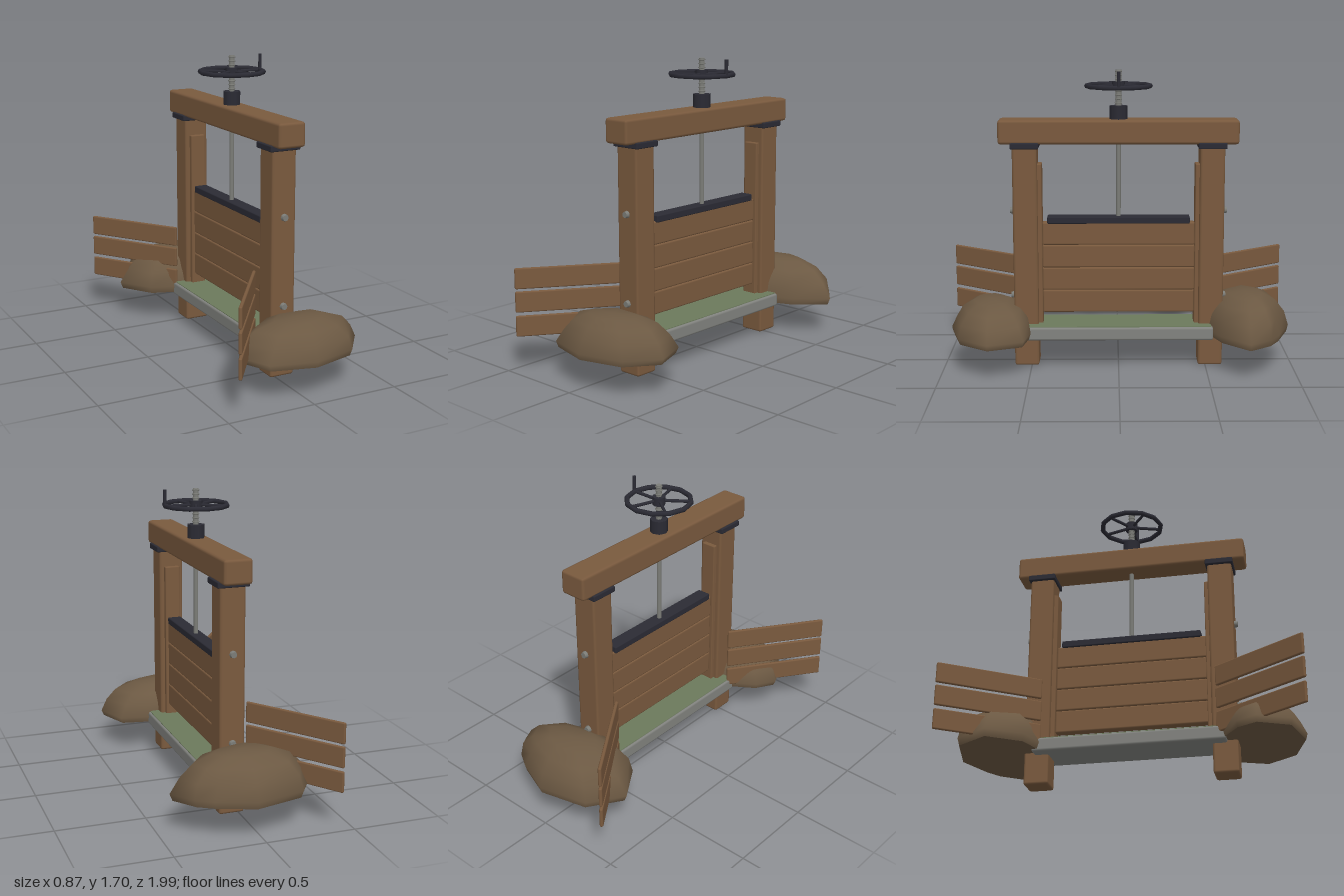
import * as THREE from 'three';
import { RoundedBoxGeometry } from 'three/addons/geometries/RoundedBoxGeometry.js';

const CX = 0.04; // centre line of the frame

export function createModel() {
  const mat = (name, color, extra = {}) => {
    const m = new THREE.MeshStandardMaterial({ color, ...extra });
    m.name = name;
    return m;
  };
  const wood = mat('wood', 0x7a5a3e);
  const iron = mat('iron', 0x2b2b34);
  const steel = mat('steel', 0x7c7d78);
  const stone = mat('stone', 0x82837f);
  const moss = mat('moss', 0x6c7a5c);
  const earth = mat('earth', 0x6c5943);

  const root = new THREE.Group();
  root.name = 'sluiceGate';

  const add = (name, geo, material, x, y, z, parent = root) => {
    const m = new THREE.Mesh(geo, material);
    m.name = name;
    m.position.set(x, y, z);
    parent.add(m);
    return m;
  };
  const box = (name, material, w, h, d, x, y, z, r = 0.012, parent = root) =>
    add(name, new RoundedBoxGeometry(w, h, d, 1, r), material, x, y, z, parent);
  const rod = (name, material, r, y0, y1, x, z, sides = 10, parent = root) =>
    add(name, new THREE.CylinderGeometry(r, r, y1 - y0, sides), material, x, (y0 + y1) / 2, z, parent);

  // Lumpy earth bank from one outline, narrowed and raised ring by ring
  const bank = (name, outline, cx, cz, height) => {
    const base = 0.185, n = outline.length;
    const rings = [[0.96, 0], [1, 0.16], [0.9, 0.5], [0.72, 0.78], [0.42, 0.95]];
    const pos = [], idx = [];
    const ring = (s, t) => outline.forEach(([x, z], i) => {
      const wobble = 1 + 0.05 * Math.sin(i * 2.4 + s * 5) * (t > 0.2 ? 1 : 0);
      pos.push(cx + (x - cx) * s * wobble, base + t * (height - base), cz + (z - cz) * s * wobble);
    });
    rings.forEach(([s, t]) => ring(s, t));
    const apex = pos.length / 3;
    pos.push(cx, height, cz);
    const floor = apex + 1;
    ring(rings[0][0], 0);
    pos.push(cx, base, cz);
    for (let i = 0; i < n; i++) {
      const j = (i + 1) % n;
      for (let k = 0; k < rings.length - 1; k++) {
        const a = k * n + i, b = k * n + j, c = a + n, d = b + n;
        idx.push(a, b, d, a, d, c);
      }
      const last = (rings.length - 1) * n;
      idx.push(apex, last + i, last + j, floor + n, floor + j, floor + i);
    }
    const g = new THREE.BufferGeometry();
    g.setAttribute('position', new THREE.Float32BufferAttribute(pos, 3));
    g.setIndex(idx);
    g.computeVertexNormals();
    add(name, g, earth, 0, 0, 0);
  };

  // Posts, collars, guides, bolts and wing fences on both sides
  for (const s of [1, -1]) {
    const side = s > 0 ? 'front' : 'back';
    box(side + 'Post', wood, 0.145, 1.29, 0.14, CX, 0.65, s * 0.527, 0.014);
    box(side + 'Collar', iron, 0.18, 0.034, 0.16, CX, 1.281, s * 0.527, 0.006);
    box(side + 'Guide', wood, 0.09, 0.93, 0.04, CX, 0.71, s * 0.453, 0.006);
    for (const y of [0.41, 0.905]) {
      const bolt = add(side + 'Bolt', new THREE.CylinderGeometry(0.017, 0.022, 0.024, 8), steel, CX, y, s * 0.604);
      bolt.rotation.x = s * Math.PI / 2;
    }
    const fence = new THREE.Group();
    fence.name = side + 'Fence';
    fence.position.set(-0.257, 0, s * 0.742);
    fence.rotation.y = s * Math.atan2(0.345, -0.49) + Math.PI;
    root.add(fence);
    for (const y of [0.274, 0.411, 0.543])
      box('fencePlank', wood, 0.02, 0.118, 0.61, 0, y, 0, 0.008, fence);
  }

  // Top beam
  box('beam', wood, 0.16, 0.136, 1.35, CX, 1.357, 0, 0.016);

  // Sliding gate
  for (let i = 0; i < 4; i++)
    box('gatePlank', wood, 0.06, 0.132, 0.87, CX, 0.377 + i * 0.132, 0, 0.01);
  box('gateCap', iron, 0.08, 0.04, 0.81, CX, 0.852, 0, 0.006);

  // Lifting screw and its nut
  rod('liftRod', steel, 0.013, 0.86, 1.3, CX, 0);
  rod('nut', iron, 0.05, 1.42, 1.5, CX, 0, 8);
  rod('screw', steel, 0.016, 1.48, 1.7, CX, 0);
  for (let y = 1.515; y < 1.7; y += 0.022) {
    const t = add('thread', new THREE.TorusGeometry(0.017, 0.004, 5, 12), steel, CX, y, 0);
    t.rotation.x = Math.PI / 2;
  }

  // Handwheel
  const wheel = new THREE.Group();
  wheel.name = 'handwheel';
  wheel.position.set(CX, 1.61, 0);
  root.add(wheel);
  add('wheelRim', new THREE.TorusGeometry(0.178, 0.014, 6, 12), iron, 0, 0, 0, wheel).rotation.x = Math.PI / 2;
  rod('wheelHub', iron, 0.036, -0.024, 0.024, 0, 0, 10, wheel);
  for (let i = 0; i < 5; i++) {
    const a = i * Math.PI * 2 / 5;
    const spoke = add('spoke', new THREE.CylinderGeometry(0.009, 0.009, 0.16, 6), iron,
      Math.cos(a) * 0.1, 0, -Math.sin(a) * 0.1, wheel);
    spoke.rotation.set(0, a, Math.PI / 2);
  }
  rod('crankHandle', iron, 0.01, 0, 0.09, 0.18, 0, 8, wheel);

  // Stone sill with a mossy top
  box('sill', stone, 0.28, 0.078, 1.08, CX, 0.211, 0, 0.014);
  add('mossTop', new THREE.BoxGeometry(0.256, 0.006, 1.056), moss, CX, 0.25, 0);

  // Earth banks
  bank('frontBank', [[0.04, 0.965], [0.295, 0.895], [0.425, 0.725], [0.35, 0.53], [0.18, 0.5],
    [-0.08, 0.51], [-0.23, 0.61], [-0.295, 0.72], [-0.21, 0.9]], 0.06, 0.73, 0.395);
  bank('backBank', [[-0.08, -0.487], [0.04, -0.487], [0.275, -0.575], [0.435, -0.725], [0.34, -0.85],
    [0.25, -0.905], [0.04, -0.985], [-0.24, -0.915], [-0.365, -0.725], [-0.24, -0.54]], 0.04, -0.73, 0.43);

  return root;
}
